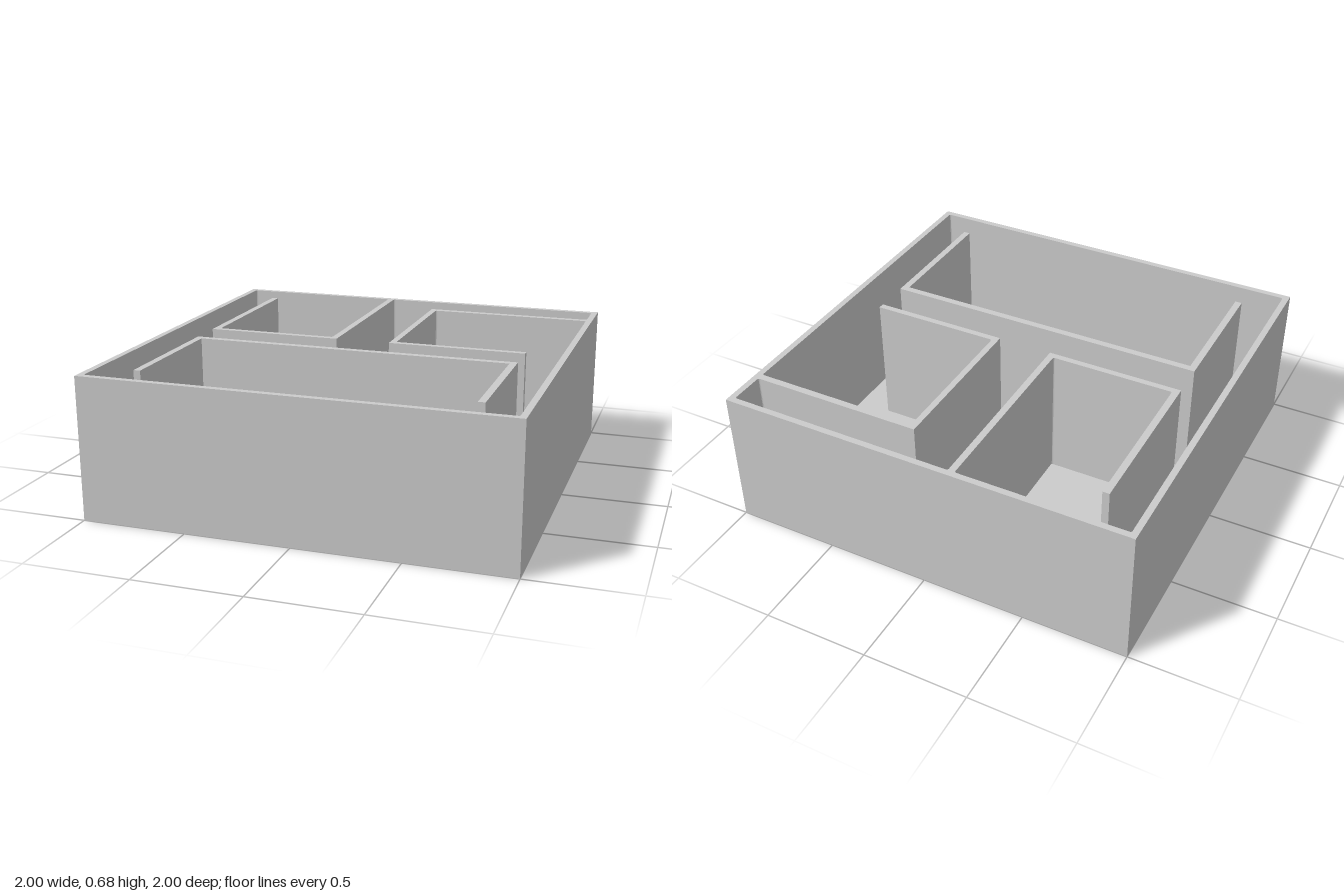
import * as THREE from 'three';

const HEIGHT = 0.68, FLOOR = 0.03, FILLET = 0.01;

// Draw an outline of [x, z] points; corners that turn inwards to the room get a small fillet.
function outline(path, points, fillet = 0) {
  const n = points.length;
  const pts = points.map(([x, z]) => new THREE.Vector2(x, -z));
  pts.forEach((p, i) => {
    const a = pts[(i + n - 1) % n].clone().sub(p).normalize();
    const b = pts[(i + 1) % n].clone().sub(p).normalize();
    const round = fillet > 0 && a.cross(b) > 0;
    const start = round ? p.clone().addScaledVector(a, fillet) : p;
    if (i === 0) path.moveTo(start.x, start.y);
    else path.lineTo(start.x, start.y);
    if (round) {
      const end = p.clone().addScaledVector(b, fillet);
      path.quadraticCurveTo(p.x, p.y, end.x, end.y);
    }
  });
  path.closePath();
  return path;
}

export function createModel() {
  const group = new THREE.Group();
  group.name = 'walledFloorPlan';
  const material = new THREE.MeshStandardMaterial({ color: 0xcccccc, flatShading: true });

  const add = (name, geometry) => {
    const mesh = new THREE.Mesh(geometry, material);
    mesh.name = name;
    group.add(mesh);
  };
  const raise = (shape) =>
    new THREE.ExtrudeGeometry(shape, { depth: HEIGHT - FLOOR, bevelEnabled: false, curveSegments: 4 })
      .rotateX(-Math.PI / 2)
      .translate(0, FLOOR, 0);

  // Floor slab
  add('floor', new THREE.BoxGeometry(2, FLOOR, 2).translate(0, FLOOR / 2, 0));

  // Outer walls with the two attached hooked partitions, cut as one open room
  // (the outer outline runs opposite to the room outline so both sides face outwards)
  const walls = outline(new THREE.Shape(), [[-1, -1], [-1, 1], [1, 1], [1, -1]]);
  walls.holes.push(outline(new THREE.Path(), [
    [-0.97, -0.97], [-0.167, -0.97], [-0.167, -0.03], [-0.767, -0.03], [-0.767, -0.8],
    [-0.8, -0.8], [-0.8, 0], [-0.135, 0], [-0.135, -0.97], [0.97, -0.97],
    [0.97, -0.8], [0.133, -0.8], [0.133, 0], [0.8, 0], [0.8, -0.03],
    [0.163, -0.03], [0.163, -0.767], [0.97, -0.767], [0.97, 0.97], [-0.97, 0.97],
  ], FILLET));
  add('outerWallsAndPartitions', raise(walls));

  // Free-standing U-shaped partition
  add('frontPartition', raise(outline(new THREE.Shape(), [
    [-0.8, 0.167], [0.8, 0.167], [0.8, 0.833], [0.767, 0.833],
    [0.767, 0.2], [-0.767, 0.2], [-0.767, 0.833], [-0.8, 0.833],
  ])));

  return group;
}
